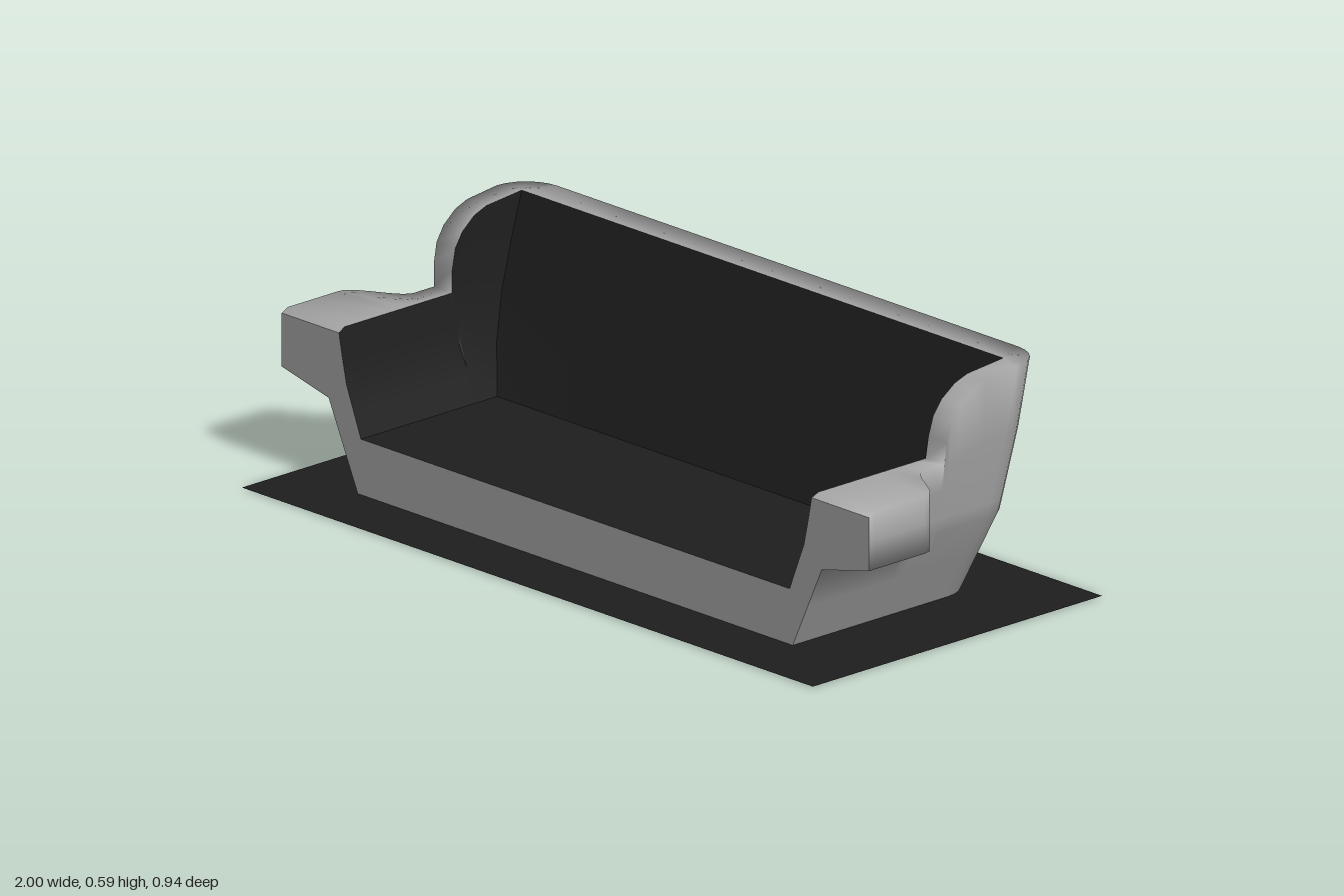
import * as THREE from 'three';
import { toCreasedNormals } from 'three/addons/utils/BufferGeometryUtils.js';

// Piecewise linear lookup through [input, output] pairs in rising order
function curve(pairs) {
  return (v) => {
    if (v <= pairs[0][0]) return pairs[0][1];
    for (let i = 1; i < pairs.length; i++) {
      const [a, p] = pairs[i - 1], [b, q] = pairs[i];
      if (v <= b) return p + (q - p) * (v - a) / (b - a);
    }
    return pairs[pairs.length - 1][1];
  };
}

// Half widths and back positions of the shell, by height
const outerX = curve([[0, 0.74], [0.215, 0.84], [0.4, 0.87], [0.59, 0.885]]);
const outerBack = curve([[0, -0.3], [0.59, -0.387]]);
const innerX = curve([[0.14, 0.73], [0.27, 0.782], [0.4, 0.808], [0.59, 0.82]]);
const innerBack = curve([[0.14, -0.14], [0.59, -0.305]]);
// Rim height and arm flare, by depth
const rimHeight = curve([[-0.26, 0.59], [-0.2, 0.583], [-0.15, 0.565], [-0.11, 0.535],
  [-0.085, 0.5], [-0.072, 0.45], [-0.068, 0.395], [0.28, 0.395], [0.3, 0.385]]);
const flare = (z) => THREE.MathUtils.smoothstep(z, 0, 0.11);
const flareShape = curve([[0.215, 0], [0.252, 1]]);
const CORNER = 0.1, SEAT = 0.14;

// Stations from the front of the left arm, round the corner, to the middle of the back
function stations() {
  const list = [0.3, 0.28, 0.2, 0.12, 0.1, 0.08, 0.06, 0.04, 0.02, 0, -0.03, -0.068,
    -0.072, -0.085, -0.11, -0.15, -0.19].map((z) => ({ z, h: rimHeight(z) }));
  for (let i = 0; i <= 6; i++) list.push({ angle: i * Math.PI / 12, h: 0.59 });
  for (const f of [0.66, 0.33, 0]) list.push({ f, h: 0.59 });
  return list;
}

function outerPoint(s, y) {
  const w = outerX(y), b = outerBack(y);
  if (s.z !== undefined) {
    const x = THREE.MathUtils.lerp(w, 1, flare(s.z) * flareShape(y));
    return new THREE.Vector3(x, y, s.z);
  }
  if (s.angle !== undefined) {
    return new THREE.Vector3(w - CORNER * (1 - Math.cos(s.angle)), y,
      b + CORNER * (1 - Math.sin(s.angle)));
  }
  return new THREE.Vector3((w - CORNER) * s.f, y, b);
}

function innerPoint(s, y) {
  const b = innerBack(y);
  const f = s.f === undefined ? 1 : s.f;
  return new THREE.Vector3(innerX(y) * f, y, s.z === undefined ? b : Math.max(s.z, b));
}

// Outer wall from the ground up and over the rim
function outerSection(s) {
  const pts = [0, 0.11, 0.215, 0.252].map((y) => outerPoint(s, y));
  for (const k of [0.5, 1]) pts.push(outerPoint(s, 0.252 + k * (s.h - 0.252)));
  pts.push(innerPoint(s, s.h));
  return pts;
}

// Lining from the rim down to the seat
function innerSection(s) {
  return [1, 0.75, 0.5, 0.25, 0].map((k) => innerPoint(s, SEAT + k * (s.h - SEAT)));
}

const mirror = (p) => new THREE.Vector3(-p.x, p.y, p.z);

// Skin a half row of sections together with its mirror image
function loft(half) {
  const rows = [...half, ...half.slice(0, -1).reverse().map((r) => r.map(mirror))];
  const n = rows[0].length, index = [];
  for (let i = 0; i < rows.length - 1; i++) {
    for (let j = 0; j < n - 1; j++) {
      const a = i * n + j, b = a + n;
      index.push(a, b, a + 1, b, b + 1, a + 1);
    }
  }
  const geo = new THREE.BufferGeometry().setFromPoints(rows.flat());
  geo.setIndex(index);
  geo.computeVertexNormals();
  return geo;
}

export function createModel() {
  const group = new THREE.Group();
  const grey = new THREE.MeshStandardMaterial({ color: 0xa6a6a6, side: THREE.DoubleSide });
  grey.name = 'grey shell';
  const black = new THREE.MeshStandardMaterial({ color: 0x1e1e1e, side: THREE.DoubleSide });
  black.name = 'black lining';
  const add = (name, geo, mat) => {
    const mesh = new THREE.Mesh(geo, mat);
    mesh.name = name;
    group.add(mesh);
    return mesh;
  };

  const path = stations();
  const outer = path.map(outerSection), inner = path.map(innerSection);
  add('outerShell', loft(outer), grey);
  add('lining', toCreasedNormals(loft(inner), 0.5), black);

  // Flat front face, U-shaped around the seat
  const side = [...outer[0], ...inner[0].slice(1)];
  const outline = [...side, ...side.map(mirror).reverse()];
  const front = new THREE.Shape(outline.map((p) => new THREE.Vector2(p.x, p.y)));
  add('frontFace', new THREE.ShapeGeometry(front), grey).position.z = 0.3;

  // Underside follows the outer footprint
  const foot = outer.map((s) => s[0]);
  const footprint = [...foot, ...foot.slice(0, -1).reverse().map(mirror)];
  const base = new THREE.Shape(footprint.map((p) => new THREE.Vector2(p.x, p.z)));
  add('underside', new THREE.ShapeGeometry(base).rotateX(Math.PI / 2), grey);

  // Seat panel
  const depth = 0.3 - innerBack(SEAT);
  const seat = new THREE.PlaneGeometry(innerX(SEAT) * 2, depth).rotateX(-Math.PI / 2);
  add('seat', seat, black).position.set(0, SEAT, 0.3 - depth / 2);

  // Thin mat on the ground
  const mat = new THREE.PlaneGeometry(1.945, 0.935).rotateX(-Math.PI / 2);
  add('groundMat', mat, black).position.set(0.0135, 0.002, 0);
  return group;
}
